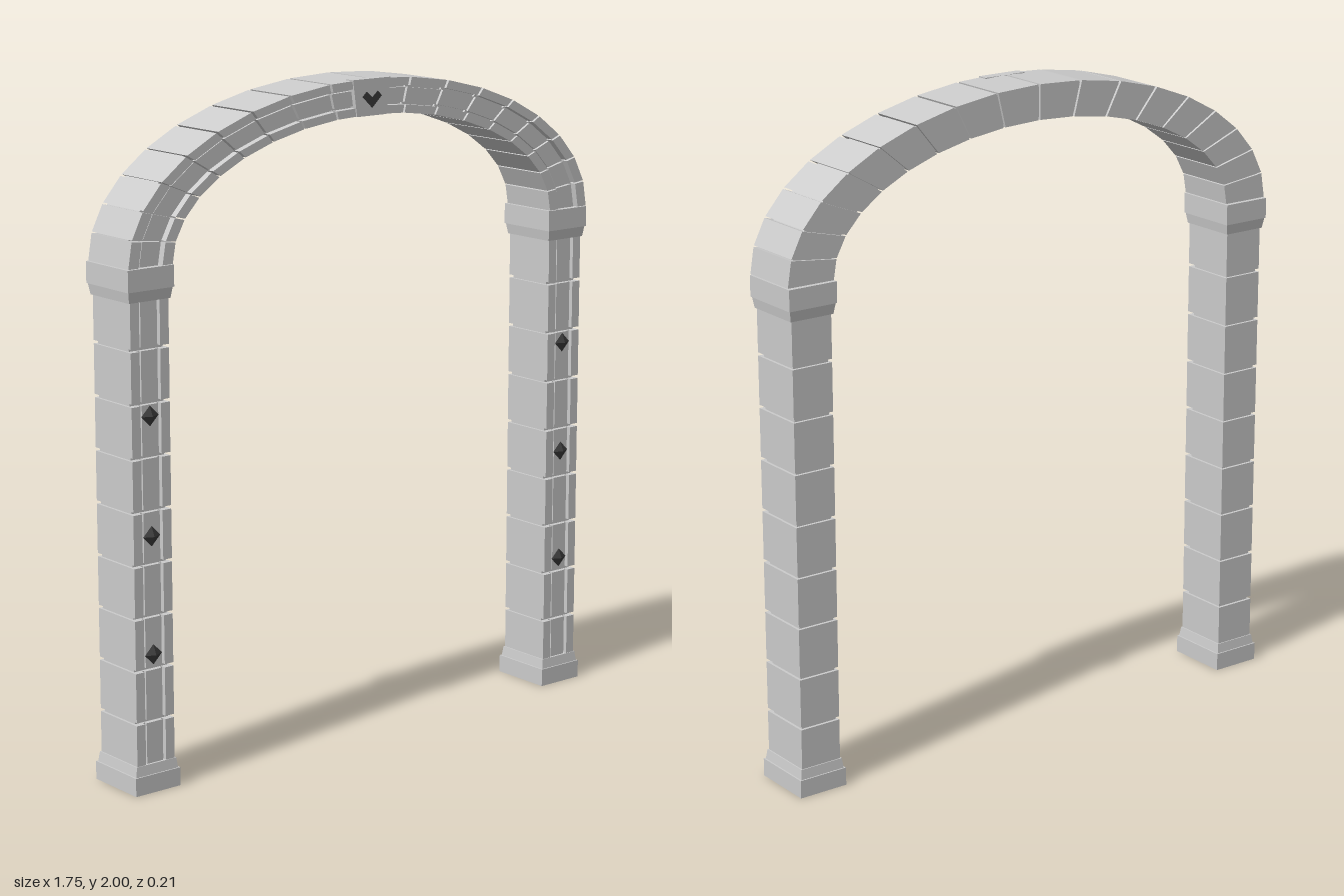
import * as THREE from 'three';

const stone = new THREE.MeshStandardMaterial({ color: 0xcccccc, flatShading: true });
const dark = new THREE.MeshStandardMaterial({ color: 0x3a3a3a, flatShading: true });

const PILLAR_X = 0.795, SPRING_Y = 1.535;

function add(parent, name, geometry, material = stone) {
  const mesh = new THREE.Mesh(geometry, material);
  mesh.name = name;
  parent.add(mesh);
  return mesh;
}

// Stone outline: u runs across the width (0..1), v is depth; two grooves split the front into rail, panel, rail
function groovedProfile(back, front, panel, floor) {
  return new THREE.Shape([
    [0, back], [1, back], [1, front], [0.77, front], [0.77, floor], [0.71, floor], [0.71, panel],
    [0.29, panel], [0.29, floor], [0.23, floor], [0.23, front], [0, front],
  ].map(([u, v]) => new THREE.Vector2(u, v)));
}

function plainProfile(u0, u1, back, front) {
  return new THREE.Shape([[u0, back], [u1, back], [u1, front], [u0, front]]
    .map(([u, v]) => new THREE.Vector2(u, v)));
}

// Sweep an outline from one pair of edge points [inner, outer] to the next
function block(profile, start, end) {
  const geo = new THREE.ExtrudeGeometry(profile, { depth: 1, bevelEnabled: false });
  const pos = geo.attributes.position;
  const a = new THREE.Vector2(), b = new THREE.Vector2();
  for (let i = 0; i < pos.count; i++) {
    const u = pos.getX(i), v = pos.getY(i), t = pos.getZ(i);
    a.lerpVectors(start[0], start[1], u);
    b.lerpVectors(end[0], end[1], u);
    a.lerp(b, t);
    pos.setXYZ(i, a.x, a.y, v);
  }
  geo.computeVertexNormals();
  return geo;
}

// Box with separate half widths at bottom and top, z range scaled alike
function taperedBox(y0, y1, half0, half1, depth0, depth1) {
  const geo = new THREE.BoxGeometry(2, 1, 2);
  const pos = geo.attributes.position;
  for (let i = 0; i < pos.count; i++) {
    const top = pos.getY(i) > 0;
    pos.setXYZ(i, pos.getX(i) * (top ? half1 : half0), top ? y1 : y0,
      pos.getZ(i) * (top ? depth1 : depth0) - 0.002);
  }
  geo.computeVertexNormals();
  return geo;
}

function createPillar() {
  const pillar = new THREE.Group();
  const level = (y) => [new THREE.Vector2(-0.066, y), new THREE.Vector2(0.066, y)];

  // Plinth and capital, each with a tapered moulding
  add(pillar, 'plinth', taperedBox(0, 0.055, 0.079, 0.079, 0.1, 0.1));
  add(pillar, 'plinthMoulding', taperedBox(0.055, 0.085, 0.074, 0.07, 0.096, 0.092));
  add(pillar, 'capitalMoulding', taperedBox(1.44, 1.472, 0.071, 0.076, 0.093, 0.098));
  add(pillar, 'capital', taperedBox(1.472, SPRING_Y, 0.079, 0.079, 0.101, 0.101));

  // Stacked stones around a slightly smaller core that shows in the joints
  add(pillar, 'pillarCore', block(plainProfile(0.06, 0.94, -0.082, 0.068), level(1.45), level(0.05)));
  const profile = groovedProfile(-0.091, 0.088, 0.083, 0.074);
  const joints = [0.055, 0.213, 0.369, 0.525, 0.68, 0.836, 0.992, 1.148, 1.304, 1.45];
  for (let i = 0; i < joints.length - 1; i++) {
    add(pillar, `pillarStone${i + 1}`, block(profile, level(joints[i + 1] - 0.005), level(joints[i] + 0.005)));
  }

  // Faceted diamond studs on the front
  for (const y of [0.41, 0.76, 1.11]) {
    const stud = add(pillar, 'diamondStud', new THREE.OctahedronGeometry(1), dark);
    stud.scale.set(0.03, 0.03, 0.014);
    stud.position.set(0, y, 0.083);
  }
  return pillar;
}

function createArch() {
  const arch = new THREE.Group();
  arch.name = 'arch';
  const point = (rx, ry, angle) =>
    new THREE.Vector2(rx * Math.sin(angle), SPRING_Y + ry * Math.cos(angle));
  const station = (angle) => [point(0.72, 0.36, angle), point(0.872, 0.465, angle)];

  // Eighteen wedge stones along an elliptical arc, with recessed joints
  const profile = groovedProfile(-0.094, 0.099, 0.089, 0.077);
  const core = plainProfile(0.07, 0.93, -0.086, 0.07);
  const count = 18, step = Math.PI / count, gap = 0.005;
  for (let i = 0; i < count; i++) {
    const a = -Math.PI / 2 + i * step;
    add(arch, `archStone${i + 1}`, block(profile, station(a + gap), station(a + step - gap)));
    add(arch, 'archCore', block(core, station(a), station(a + step)));
  }

  // Keystone plate on the front with a dark chevron
  const plate = new THREE.Shape([[-0.056, 1.892], [0.056, 1.892], [0.071, 2], [-0.071, 2]]
    .map(([x, y]) => new THREE.Vector2(x, y)));
  add(arch, 'keystone', new THREE.ExtrudeGeometry(plate, { depth: 0.032, bevelEnabled: false }))
    .position.z = 0.071;
  const chevron = new THREE.Shape([[0, 1.915], [0.036, 1.949], [0.021, 1.963], [0, 1.945],
    [-0.021, 1.963], [-0.036, 1.949]].map(([x, y]) => new THREE.Vector2(x, y)));
  add(arch, 'keystoneChevron', new THREE.ExtrudeGeometry(chevron, { depth: 0.005, bevelEnabled: false }), dark)
    .position.z = 0.1;
  return arch;
}

export function createModel() {
  const model = new THREE.Group();
  model.name = 'stoneArchway';
  for (const side of [1, -1]) {
    const pillar = createPillar();
    pillar.name = side > 0 ? 'leftPillar' : 'rightPillar';
    pillar.position.x = side * PILLAR_X;
    model.add(pillar);
  }
  model.add(createArch());
  return model;
}
